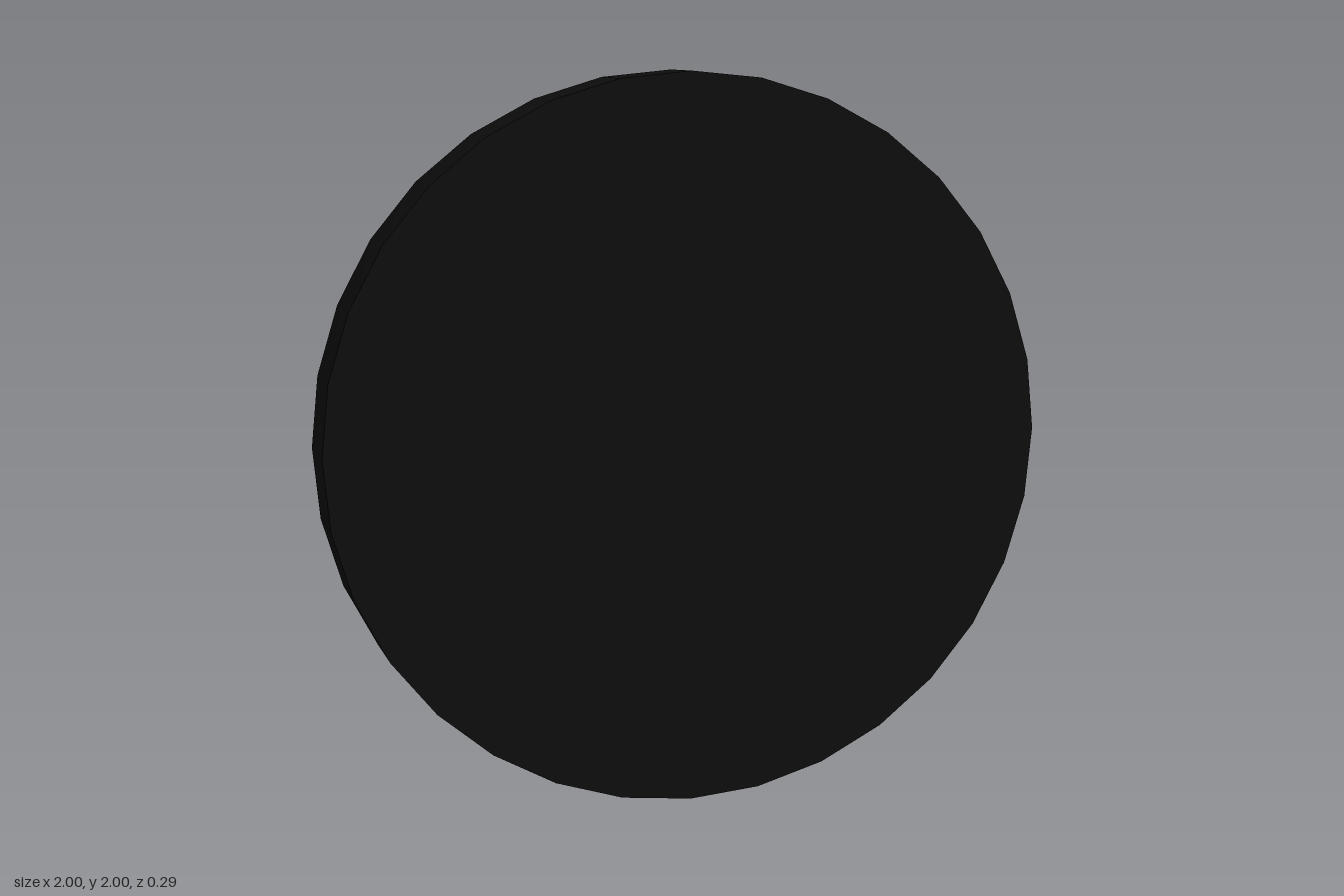
import * as THREE from 'three';
import { toCreasedNormals } from 'three/addons/utils/BufferGeometryUtils.js';

const SIDES = 32;
const DIAL_Z = -0.07;

// Tapered hand pointing up from the pivot
function makeHand(name, length, z, angle, material) {
  const shape = new THREE.Shape([
    new THREE.Vector2(-0.037, 0),
    new THREE.Vector2(0.037, 0),
    new THREE.Vector2(0.012, length),
    new THREE.Vector2(-0.012, length),
  ]);
  const geometry = new THREE.ExtrudeGeometry(shape, { depth: 0.004, bevelEnabled: false });
  const hand = new THREE.Mesh(geometry, material);
  hand.name = name;
  hand.position.z = z;
  hand.rotation.z = angle;
  return hand;
}

export function createModel() {
  const group = new THREE.Group();
  group.name = 'wallClock';
  const black = new THREE.MeshStandardMaterial({ color: 0x0d0d0d });
  const grey = new THREE.MeshStandardMaterial({ color: 0xcccccc });

  const clock = new THREE.Group();
  clock.name = 'clock';
  clock.position.y = 1;
  group.add(clock);

  // Casing: flat disc, straight side, rounded rim and recessed inner wall
  const profile = [
    [0, -0.146], [1, -0.146], [1, 0.055], [0.985, 0.088],
    [0.89, 0.14], [0.86, 0.146], [0.86, -DIAL_Z],
  ].map(([r, h]) => new THREE.Vector2(r, h));
  const casingGeometry = toCreasedNormals(new THREE.LatheGeometry(profile, SIDES), 0.75);
  casingGeometry.rotateX(-Math.PI / 2);
  const casing = new THREE.Mesh(casingGeometry, black);
  casing.name = 'casing';
  clock.add(casing);

  // Dial set inside the rim, facing -z
  const dial = new THREE.Mesh(new THREE.CircleGeometry(0.86, SIDES), grey);
  dial.name = 'dial';
  dial.rotation.y = Math.PI;
  dial.position.z = DIAL_Z;
  clock.add(dial);

  // Hands just above the dial
  clock.add(makeHand('minuteHand', 0.82, DIAL_Z - 0.009, 0, black));
  clock.add(makeHand('hourHand', 0.63, DIAL_Z - 0.007, -Math.PI / 2, black));

  return group;
}
